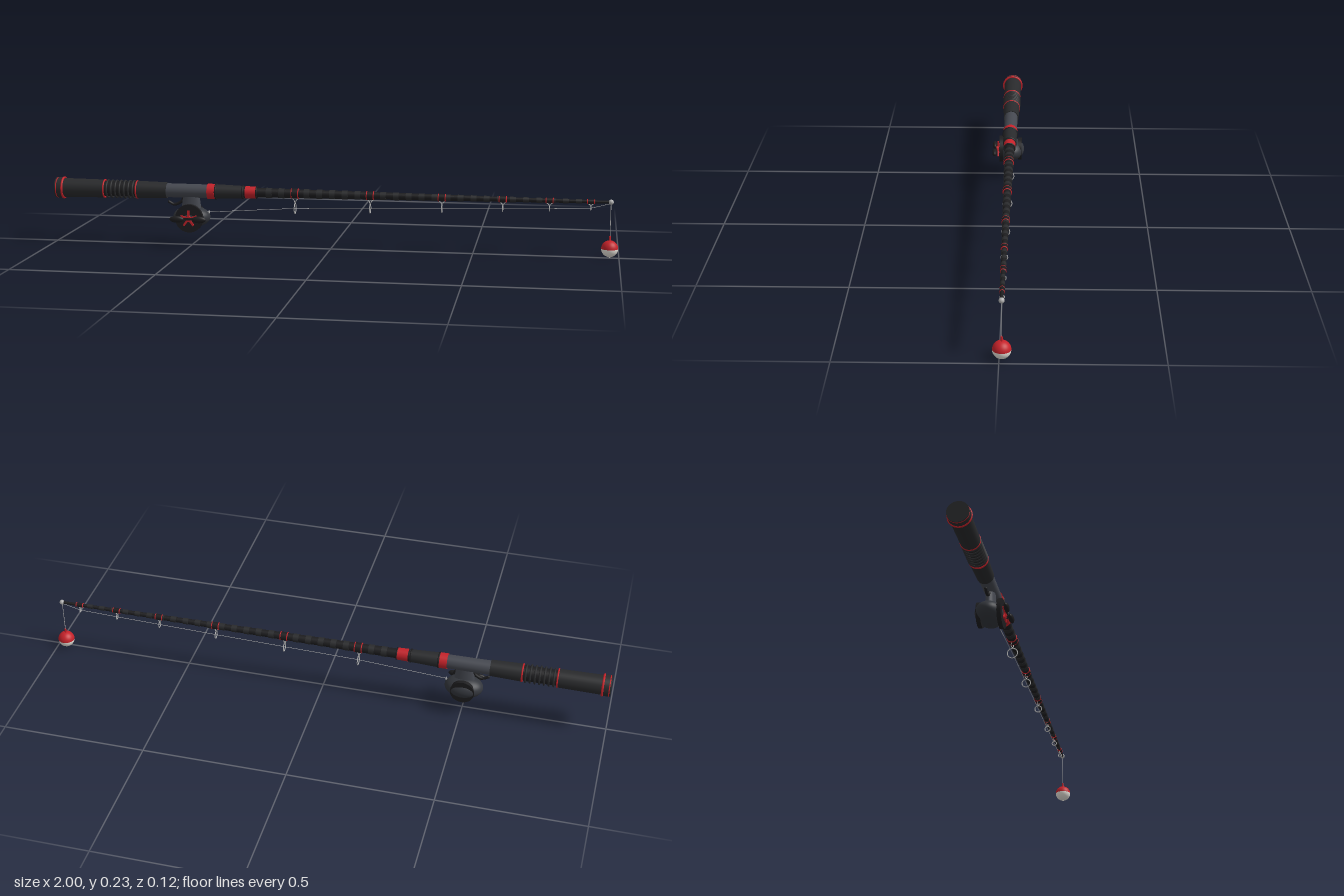
import * as THREE from 'three';

const AXIS_Y = 0.193, AXIS_Z = -0.008;
const mat = (color, side = THREE.FrontSide) => new THREE.MeshStandardMaterial({ color, side });
const black = mat(0x1d1d1f), rubber = mat(0x292a2c), red = mat(0xc4222a), grey = mat(0x454850),
  dark = mat(0x33363c), metal = mat(0xb0b0b0), white = mat(0xe6e2da, THREE.DoubleSide),
  redShell = mat(0xc4222a, THREE.DoubleSide);

export function createModel() {
  const model = new THREE.Group();
  model.name = 'fishingRod';

  const add = (name, geometry, material, x = 0, y = 0, z = 0, parent = model) => {
    const mesh = new THREE.Mesh(geometry, material);
    mesh.name = name;
    mesh.position.set(x, y, z);
    parent.add(mesh);
    return mesh;
  };

  // Rod parts lie along x: sleeve from x0 to x1 with radii r0 and r1
  const rod = new THREE.Group();
  rod.name = 'rod';
  rod.position.set(0, AXIS_Y, AXIS_Z);
  model.add(rod);
  const sleeve = (name, x0, x1, r0, r1, material) => {
    const g = new THREE.CylinderGeometry(r1, r0, x1 - x0, 32);
    g.rotateZ(-Math.PI / 2);
    return add(name, g, material, (x0 + x1) / 2, 0, 0, rod);
  };
  const ring = (name, x, r, tube, material) => {
    const g = new THREE.TorusGeometry(r, tube, 8, 32);
    g.rotateY(Math.PI / 2);
    return add(name, g, material, x, 0, 0, rod);
  };
  const strand = (name, points, r, material, parent = model) => add(name, new THREE.TubeGeometry(
    new THREE.CatmullRomCurve3(points.map(p => new THREE.Vector3(...p))), 24, r, 8), material, 0, 0, 0, parent);

  // Butt and rear grip
  sleeve('buttCap', -1, -0.972, 0.036, 0.037, rubber);
  ring('buttRing', -0.972, 0.036, 0.004, red);
  ring('buttEndRing', -0.994, 0.034, 0.003, red);
  sleeve('rearGrip', -0.97, -0.82, 0.034, 0.032, rubber);
  ring('gripRing', -0.82, 0.031, 0.003, red);
  sleeve('gripCore', -0.82, -0.7, 0.027, 0.027, black);
  for (let i = 0; i < 7; i++) ring('gripRib', -0.808 + i * 0.016, 0.03, 0.0035, rubber);
  ring('gripRing', -0.7, 0.03, 0.003, red);
  sleeve('upperGrip', -0.7, -0.59, 0.031, 0.028, rubber);

  // Reel seat and fore grip
  sleeve('reelSeat', -0.592, -0.44, 0.025, 0.024, grey);
  sleeve('seatCollar', -0.442, -0.415, 0.027, 0.027, red);
  sleeve('foreGrip', -0.415, -0.31, 0.026, 0.022, rubber);
  ring('foreGripRing', -0.412, 0.026, 0.003, black);
  ring('foreGripRing', -0.315, 0.022, 0.003, black);
  sleeve('windingCheck', -0.305, -0.265, 0.022, 0.021, red);
  sleeve('foreSocket', -0.312, -0.3, 0.021, 0.021, black);
  ring('checkRing', -0.265, 0.019, 0.003, black);

  // Tapered blank with fine bands
  const B0 = -0.27, B1 = 0.965;
  const blankR = x => THREE.MathUtils.lerp(0.017, 0.005, (x - B0) / (B1 - B0));
  sleeve('blank', B0, B1, blankR(B0), blankR(B1), black);
  for (let x = -0.23; x < 0.93; x += 0.045)
    sleeve('blankBand', x, x + 0.02, blankR(x) + 0.0015, blankR(x) + 0.0013, rubber);
  add('tip', new THREE.SphereGeometry(0.009, 24, 16), metal, 0.968, 0, 0, rod);

  // Line guides, shrinking towards the tip: [x, ring radius]
  const guides = [[-0.128, 0.018], [0.139, 0.0155], [0.39, 0.013], [0.6, 0.0105], [0.76, 0.0085], [0.9, 0.0065]];
  const linePath = [[-0.445, 0.118 - AXIS_Y, 0]];
  for (const [x, r] of guides) {
    const br = blankR(x), cy = -br - 0.006 - r * 1.75;
    const hoop = ring('guideRing', x, r, 0.0018, metal);
    hoop.position.y = cy;
    for (const s of [-1, 1])
      strand('guideLeg', [[x + s * 0.012, -br, 0], [x + s * 0.004, (cy + r - br) / 2, s * r * 0.2], [x, cy + r, 0]],
        0.0016, metal, rod);
    for (const s of [-1, 1]) ring('guideWrap', x + s * 0.012, br + 0.001, 0.002, red);
    sleeve('guideBinding', x - 0.012, x + 0.012, br + 0.0022, br + 0.002, black);
    linePath.push([x, cy, 0]);
  }
  linePath.push([0.968, -0.005, 0]);

  // Fishing line through the guides, then down to the float
  for (let i = 1; i < linePath.length; i++)
    strand('line', [linePath[i - 1], linePath[i]], 0.0009, metal, rod);
  strand('hangingLine', [[0.968, AXIS_Y, AXIS_Z], [0.968, 0.07, AXIS_Z]], 0.0011, metal);

  // Float: red upper half, white lower half
  const R = 0.029, half = Math.PI / 2;
  add('floatTop', new THREE.SphereGeometry(R, 32, 12, 0, Math.PI * 2, 0, half), redShell, 0.968, 0.031, AXIS_Z);
  add('floatBottom', new THREE.SphereGeometry(R, 32, 12, 0, Math.PI * 2, half, half), white, 0.968, 0.031, AXIS_Z);
  add('floatStem', new THREE.CylinderGeometry(0.003, 0.004, 0.018, 16), red, 0.968, 0.066, AXIS_Z);
  add('floatPin', new THREE.CylinderGeometry(0.004, 0.003, 0.004, 16), white, 0.968, 0.002, AXIS_Z);

  // Reel, turning about z
  const reel = new THREE.Group();
  reel.name = 'reel';
  reel.position.set(-0.503, 0.1, 0);
  model.add(reel);
  const disc = (name, r, z0, z1, material) => {
    const g = new THREE.CylinderGeometry(r, r, z1 - z0, 40);
    g.rotateX(half);
    return add(name, g, material, 0, 0, (z0 + z1) / 2, reel);
  };
  add('reelBody', new THREE.SphereGeometry(1, 40, 28), dark, 0, 0, -0.011, reel).scale.set(0.067, 0.038, 0.048);
  disc('handleSidePlate', 0.05, 0.02, 0.034, black);
  disc('farSidePlate', 0.042, -0.05, -0.036, black);
  add('reelFoot', new THREE.CylinderGeometry(0.03, 0.036, 0.05, 24), grey, 0, 0.053, AXIS_Z, reel).scale.z = 0.5;
  const outlet = add('lineOutlet', new THREE.TorusGeometry(0.005, 0.0015, 8, 20), metal, 0.064, 0.018, AXIS_Z, reel);
  outlet.rotation.y = half;

  // Star drag with five arms
  for (let i = 0; i < 5; i++) {
    const a = half + i * Math.PI * 2 / 5;
    const arm = add('dragArm', new THREE.BoxGeometry(0.03, 0.007, 0.006), red,
      Math.cos(a) * 0.015, Math.sin(a) * 0.015, 0.039, reel);
    arm.rotation.z = a;
  }
  disc('dragHub', 0.01, 0.033, 0.045, red);

  // Double crank handle
  add('crank', new THREE.BoxGeometry(0.085, 0.008, 0.004), black, 0, 0, 0.046, reel);
  for (const s of [-1, 1])
    add('crankKnob', new THREE.SphereGeometry(1, 24, 16), black, s * 0.04, 0, 0.052, reel).scale.set(0.026, 0.012, 0.009);

  // Finger trigger behind the reel
  strand('trigger', [[-0.527, 0.175, AXIS_Z], [-0.54, 0.154, AXIS_Z], [-0.565, 0.143, AXIS_Z], [-0.585, 0.152, AXIS_Z]], 0.005, black);
  add('triggerTip', new THREE.SphereGeometry(0.005, 12, 8), black, -0.585, 0.152, AXIS_Z);

  return model;
}
